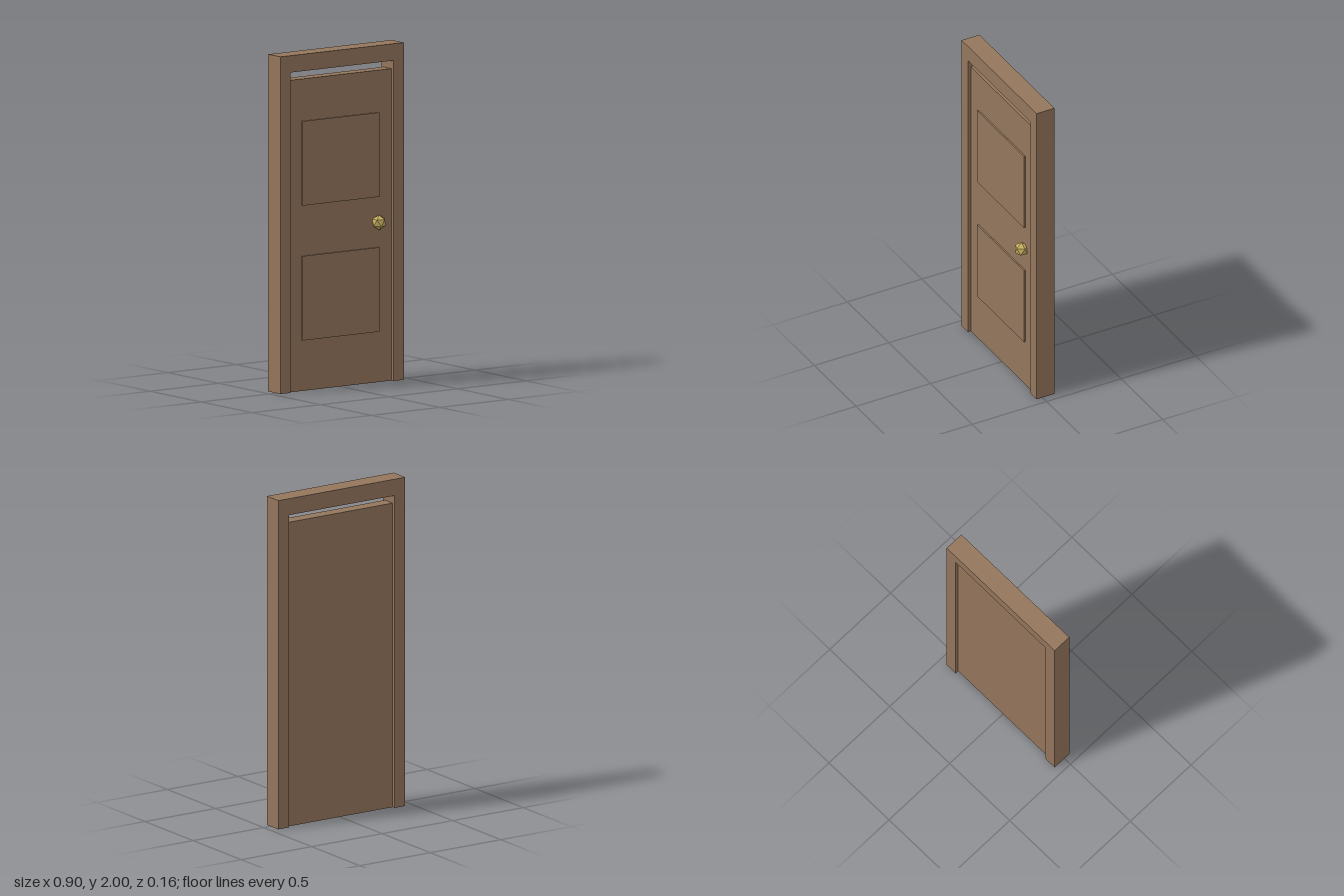
import * as THREE from 'three';
import { ConvexGeometry } from 'three/addons/geometries/ConvexGeometry.js';

const wood = new THREE.MeshStandardMaterial({ name: 'brownWood', color: 0x94765c });
const brass = new THREE.MeshStandardMaterial({ name: 'brass', color: 0xc8b060 });
brass.flatShading = true;

// Box given by its lower and upper corners
function box(name, x0, y0, z0, x1, y1, z1) {
  const mesh = new THREE.Mesh(new THREE.BoxGeometry(x1 - x0, y1 - y0, z1 - z0), wood);
  mesh.position.set((x0 + x1) / 2, (y0 + y1) / 2, (z0 + z1) / 2);
  mesh.name = name;
  return mesh;
}

// Twenty-sided knob with a vertex at the top and bottom
function knobGeometry(radius) {
  const points = [new THREE.Vector3(0, radius, 0), new THREE.Vector3(0, -radius, 0)];
  const ring = radius * 2 / Math.sqrt(5), height = radius / Math.sqrt(5);
  for (let i = 0; i < 10; i++) {
    const a = i * Math.PI / 5;
    points.push(new THREE.Vector3(ring * Math.cos(a), i % 2 ? -height : height, ring * Math.sin(a)));
  }
  return new ConvexGeometry(points);
}

export function createModel() {
  const door = new THREE.Group();
  door.name = 'door';

  // Frame: two jambs joined by a head, open at the floor
  const outline = new THREE.Shape([
    [-0.45, 0], [-0.375, 0], [-0.375, 1.9], [0.375, 1.9],
    [0.375, 0], [0.45, 0], [0.45, 2], [-0.45, 2],
  ].map(([x, y]) => new THREE.Vector2(x, y)));
  const frame = new THREE.Mesh(
    new THREE.ExtrudeGeometry(outline, { depth: 0.12, bevelEnabled: false }), wood);
  frame.position.z = -0.08;
  frame.name = 'doorFrame';
  door.add(frame);

  // Door leaf, set back on both sides, with a gap below the head
  door.add(box('doorLeaf', -0.375, 0, -0.06, 0.375, 1.85, 0.02));

  // Raised panels on the front
  for (const [name, y] of [['lowerPanel', 0.3], ['upperPanel', 1.1]]) {
    door.add(box(name, -0.28, y, 0.015, 0.28, y + 0.5, 0.03));
  }

  // Knob
  const knob = new THREE.Mesh(knobGeometry(0.045), brass);
  knob.position.set(0.27, 0.95, 0.04);
  knob.name = 'knob';
  door.add(knob);

  return door;
}
